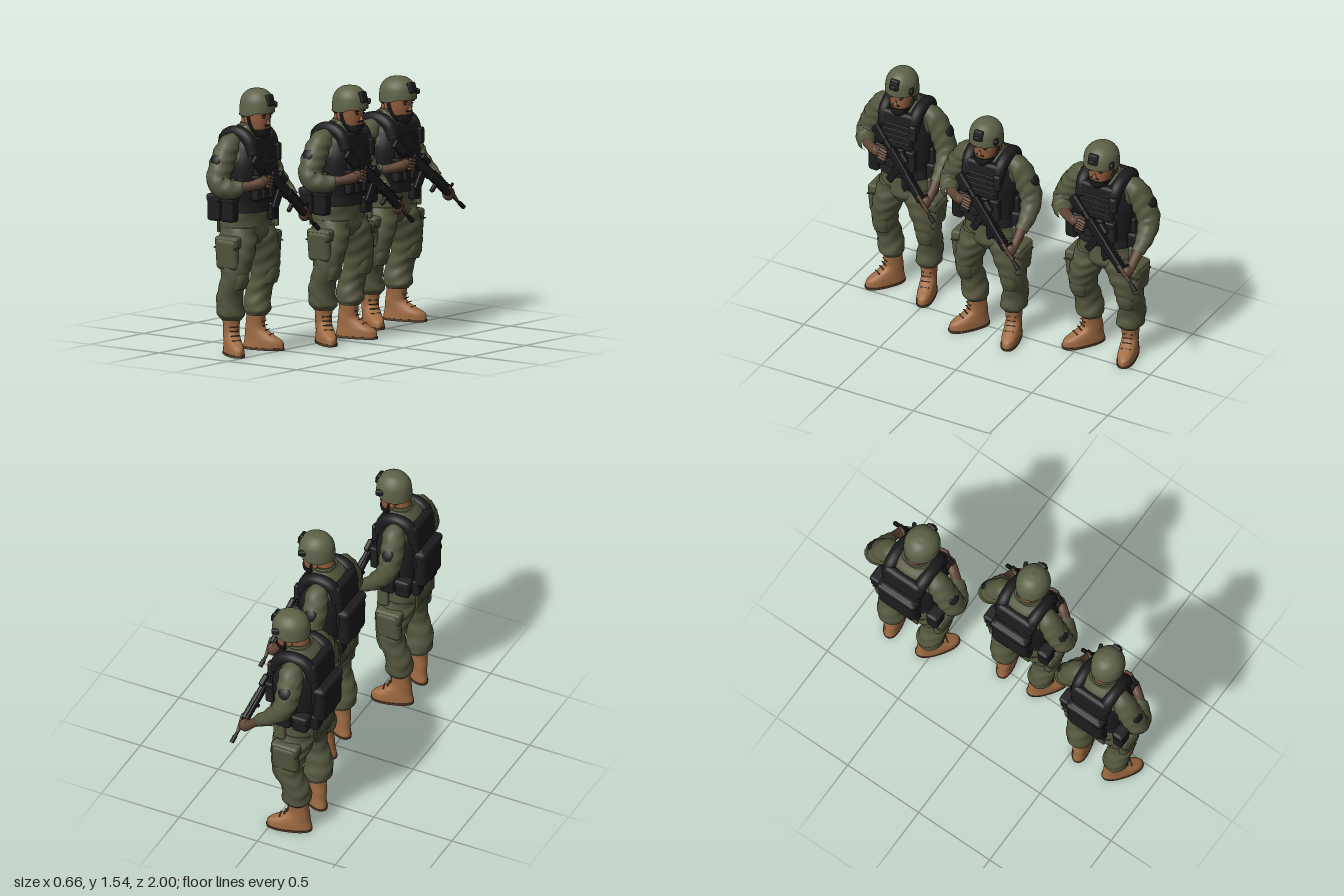
import * as THREE from 'three';
import { mergeVertices } from 'three/addons/utils/BufferGeometryUtils.js';
import { RoundedBoxGeometry } from 'three/addons/geometries/RoundedBoxGeometry.js';

const mat = (name, color) => Object.assign(new THREE.MeshStandardMaterial({ color }), { name });
const M = {
  cloth: mat('olive cloth', 0x54573e),
  seam: mat('dark olive', 0x464932),
  helmet: mat('helmet green', 0x5e6248),
  black: mat('vest black', 0x1c1c1e),
  pouch: mat('pouch charcoal', 0x212123),
  gun: mat('gun metal', 0x18181a),
  skin: mat('skin', 0x94603f),
  glove: mat('glove brown', 0x5e4534),
  boot: mat('boot tan', 0xa06c43),
  sole: mat('sole brown', 0x5c422e),
};

// Stacked horizontal rings [y, x, z, rx, rz], smoothed by a spline, with flat caps
function loft(rings, { n = 28, seg = 24, pow = 2, fold = 0, freq = 60, seed = 0 } = {}) {
  const a = new THREE.CatmullRomCurve3(rings.map(r => new THREE.Vector3(r[0], r[1], r[2])), false, 'centripetal');
  const b = new THREE.SplineCurve(rings.map(r => new THREE.Vector2(r[3], r[4])));
  const rows = [];
  for (let i = 0; i <= seg; i++) {
    const c = a.getPoint(i / seg), r = b.getPoint(i / seg);
    rows.push([c.x, c.y, c.z, r.x, r.y]);
  }
  const cap = r => [r[0], r[1], r[2], r[3] * 0.01, r[4] * 0.01];
  const all = [cap(rows[0]), rows[0], ...rows, rows[seg], cap(rows[seg])];
  const pos = [], idx = [];
  const bend = v => Math.sign(v) * Math.abs(v) ** (2 / pow);
  all.forEach(([y, x, z, rx, rz], i) => {
    for (let j = 0; j < n; j++) {
      const t = j / n * Math.PI * 2;
      const w = 1 + fold * Math.sin(y * freq + 2 * Math.sin(2 * t + seed) + 3 * Math.sin(t + seed * 2));
      pos.push(x + bend(Math.cos(t)) * rx * w, y, z + bend(Math.sin(t)) * rz * w);
      if (i === all.length - 1) continue;
      const p = i * n + j, q = i * n + (j + 1) % n;
      idx.push(p, p + n, q, q, p + n, q + n);
    }
  });
  const g = new THREE.BufferGeometry();
  g.setAttribute('position', new THREE.Float32BufferAttribute(pos, 3));
  g.setIndex(idx);
  g.computeVertexNormals();
  return g;
}

// Round limb through points [x, y, z, radius], with optional cloth folds
function limb(pts, { seg = 26, n = 16, fold = 0 } = {}) {
  const curve = new THREE.CatmullRomCurve3(pts.map(p => new THREE.Vector3(...p.slice(0, 3))));
  let g = new THREE.TubeGeometry(curve, seg, 1, n);
  const P = g.attributes.position, v = new THREE.Vector3();
  for (let i = 0; i <= seg; i++) {
    const u = i / seg, c = curve.getPointAt(u), s = curve.getUtoTmapping(u) * (pts.length - 1);
    const k = Math.min(Math.floor(s), pts.length - 2);
    const r = THREE.MathUtils.lerp(pts[k][3], pts[k + 1][3], s - k);
    for (let j = 0; j <= n; j++) {
      const w = r * (1 + fold * Math.sin(u * 42 + 2.5 * Math.sin(j / n * Math.PI * 4)));
      const m = i * (n + 1) + j;
      v.fromBufferAttribute(P, m).sub(c).multiplyScalar(w).add(c);
      P.setXYZ(m, v.x, v.y, v.z);
    }
  }
  g.deleteAttribute('uv');
  g.deleteAttribute('normal');
  g = mergeVertices(g, 1e-5);
  g.computeVertexNormals();
  return g;
}

const rbox = (x, y, z, r = 0.012) => new RoundedBoxGeometry(x, y, z, 2, Math.min(r, x / 2.1, y / 2.1, z / 2.1));
const box = (x, y, z) => new THREE.BoxGeometry(x, y, z);
const ball = (x, y, z) => new THREE.SphereGeometry(1, 18, 12).scale(x, y, z);

function put(parent, name, geo, material, p = [0, 0, 0], r = [0, 0, 0]) {
  const m = new THREE.Mesh(geo, material);
  m.name = name;
  m.position.set(...p);
  m.rotation.set(...r);
  parent.add(m);
}

// Rifle along +x, sights towards +y, 0.65 long
function rifle() {
  const g = new THREE.Group();
  g.name = 'rifle';
  const add = (n, geo, p, r) => put(g, n, geo, M.gun, p, r);
  const rod = (r, l) => new THREE.CylinderGeometry(r, r, l, 12).rotateZ(Math.PI / 2);
  add('stock', rbox(0.11, 0.06, 0.028), [0.055, -0.015, 0]);
  add('bufferTube', rod(0.013, 0.12), [0.14, 0, 0]);
  add('receiver', rbox(0.18, 0.055, 0.035, 0.008), [0.25, 0, 0]);
  add('handguard', rbox(0.19, 0.046, 0.042, 0.01), [0.42, 0.004, 0]);
  add('barrel', rod(0.009, 0.16), [0.57, 0.004, 0]);
  add('muzzle', rod(0.013, 0.045), [0.63, 0.004, 0]);
  add('topRail', box(0.33, 0.012, 0.016), [0.34, 0.031, 0]);
  for (let i = 0; i < 9; i++) add('railTooth', box(0.008, 0.007, 0.018), [0.35 + i * 0.018, 0.039, 0]);
  add('sight', rbox(0.075, 0.035, 0.032), [0.25, 0.052, 0]);
  add('frontSight', box(0.012, 0.045, 0.01), [0.5, 0.045, 0]);
  add('grip', rbox(0.032, 0.08, 0.026), [0.18, -0.055, 0], [0, 0, -0.35]);
  add('magazine', rbox(0.045, 0.12, 0.024, 0.006), [0.29, -0.075, 0], [0, 0, 0.22]);
  add('foregrip', rbox(0.026, 0.06, 0.026), [0.4, -0.045, 0]);
  const from = new THREE.Vector3(0.15, 1.13, 0.13), dir = new THREE.Vector3(0.27, 0.69, -0.31).sub(from).normalize();
  const up = new THREE.Vector3(1, 0, 0).cross(dir).normalize();
  g.quaternion.setFromRotationMatrix(new THREE.Matrix4().makeBasis(dir, up, dir.clone().cross(up)));
  g.position.copy(from);
  return g;
}

// One soldier facing +x; s = 1 is his right side (+z)
function soldier() {
  const g = new THREE.Group();
  const add = (...a) => put(g, ...a);

  // Trousers, cargo pockets and boots
  add('trouserSeat', loft([[0.62, 0.01, 0, 0.07, 0.09], [0.67, -0.008, 0, 0.12, 0.16], [0.75, -0.018, 0, 0.125, 0.174],
    [0.87, 0, 0, 0.115, 0.165]], { pow: 2.3, fold: 0.012 }), M.cloth);
  for (const s of [1, -1]) {
    const right = s > 0;
    add('trouserLeg', loft([[0.195, -0.025, 0.122 * s, 0.062, 0.06], [0.225, -0.027, 0.125 * s, 0.082, 0.078],
      [0.32, -0.028, 0.138 * s, 0.08, 0.074], [0.43, 0.012, 0.146 * s, 0.083, 0.075], [0.52, 0.022, 0.135 * s, 0.096, 0.084],
      [0.62, 0.01, 0.106 * s, 0.115, 0.098], [0.72, -0.006, 0.085 * s, 0.117, 0.092]],
    { seg: 44, fold: 0.035, freq: 75, seed: s }), M.cloth);
    add('kneePatch', loft([[0.38, 0.032, 0.146 * s, 0.056, 0.05], [0.43, 0.045, 0.146 * s, 0.06, 0.056],
      [0.49, 0.05, 0.141 * s, 0.058, 0.05]], { seg: 10, pow: 2.5 }), M.cloth);
    add('cargoPocket', rbox(0.155, 0.18, 0.06, 0.028), M.cloth, [0.005, 0.575, 0.2 * s], [0.1 * s, 0, 0]);
    add('pocketFlap', rbox(0.163, 0.06, 0.066, 0.018), M.cloth, [0.005, 0.645, 0.194 * s], [0.1 * s, 0, 0]);
    add('pocketEdge', rbox(0.164, 0.007, 0.067, 0.003), M.seam, [0.005, 0.614, 0.197 * s], [0.1 * s, 0, 0]);
    add('hipPocket', rbox(0.012, 0.09, 0.085, 0.006), M.seam, [-0.132, 0.72, 0.075 * s]);
    const foot = new THREE.Group();
    foot.name = 'boot';
    foot.position.set(right ? -0.02 : -0.022, 0, 0.125 * s);
    foot.rotation.y = right ? -0.62 : 0.25;
    put(foot, 'upper', loft([[0.012, 0.038, 0, 0.126, 0.05], [0.05, 0.036, 0, 0.119, 0.049], [0.08, 0.012, 0, 0.092, 0.046],
      [0.115, -0.013, 0, 0.063, 0.045], [0.16, -0.014, 0, 0.056, 0.047], [0.215, -0.01, 0, 0.058, 0.052]],
    { pow: 2.3, fold: 0.012 }), M.boot);
    put(foot, 'sole', loft([[0, 0.038, 0, 0.128, 0.052], [0.014, 0.038, 0, 0.13, 0.053]], { seg: 2, pow: 2.4 }), M.sole);
    for (let i = 0; i < 4; i++)
      put(foot, 'lace', box(0.008, 0.005, 0.05), M.sole, [[0.088, 0.062, 0.047, 0.041][i], 0.088 + i * 0.024, 0], [0, 0, 0.5]);
    g.add(foot);
  }

  // Shirt and collar
  add('shirt', loft([[0.82, 0, 0, 0.112, 0.16], [0.95, 0, 0, 0.122, 0.168], [1.1, 0, 0, 0.128, 0.18], [1.185, -0.005, 0, 0.11, 0.168],
    [1.245, 0, 0, 0.085, 0.13], [1.285, 0.015, 0, 0.062, 0.08]], { pow: 2.2, fold: 0.01 }), M.cloth);
  add('collar', loft([[1.25, 0.015, 0, 0.075, 0.085], [1.3, 0.03, 0, 0.066, 0.068]], { seg: 4 }), M.cloth);

  // Armour vest with front and back panels, straps, webbing and pouches
  add('vest', loft([[0.86, 0, 0, 0.132, 0.172], [0.95, 0.002, 0, 0.14, 0.178], [1.08, 0.003, 0, 0.146, 0.176],
    [1.17, 0, 0, 0.132, 0.155], [1.225, -0.002, 0, 0.11, 0.135]], { pow: 2.6 }), M.black);
  add('belt', loft([[0.805, 0, 0, 0.131, 0.174], [0.865, 0, 0, 0.131, 0.176]], { seg: 2, pow: 2.4 }), M.pouch);
  add('backPanel', rbox(0.06, 0.3, 0.25, 0.028), M.black, [-0.113, 1.09, 0], [0, 0, -0.08]);
  add('chestPanel', rbox(0.05, 0.24, 0.22, 0.022), M.black, [0.118, 1.11, 0], [0, 0, 0.12]);
  for (const s of [1, -1]) {
    const right = s > 0;
    add('shoulderStrap', limb([[0.118, 1.13, 0.1 * s, 0.034], [0.085, 1.215, 0.104 * s, 0.038], [0.01, 1.25, 0.108 * s, 0.038],
      [-0.075, 1.225, 0.104 * s, 0.038], [-0.113, 1.13, 0.1 * s, 0.034]]), M.black);
    add('sidePouch', rbox(0.1, 0.11, 0.045), M.pouch, [0, 0.95, 0.172 * s]);
    for (const x of [-0.08, 0.02]) {
      const z = right ? 0.2 : -0.178;
      add('hipPouch', rbox(0.092, right ? 0.155 : 0.1, 0.07, 0.018), M.black, [x, right ? 0.835 : 0.85, z]);
      add('hipPouchFlap', rbox(0.097, 0.045, 0.075, 0.014), M.pouch, [x, 0.888, z]);
    }
    add('rearPouch', rbox(0.045, 0.1, 0.08), M.black, [-0.128, 0.82, 0.085 * s]);
  }
  for (const z of [-0.1, -0.033, 0.033, 0.1]) {
    add('magazinePouch', rbox(0.045, 0.13, 0.058), M.pouch, [0.145, 0.945, z]);
    add('magazineFlap', rbox(0.05, 0.04, 0.06, 0.01), M.black, [0.147, 1.0, z]);
  }
  for (let i = 0; i < 4; i++)
    add('frontWebbing', rbox(0.012, 0.018, 0.2, 0.005), M.pouch, [0.147 - i * 0.004, 1.05 + i * 0.033, 0]);
  add('radio', rbox(0.035, 0.1, 0.045), M.pouch, [0.138, 1.13, -0.11]);
  add('holster', rbox(0.07, 0.13, 0.03), M.cloth, [0.05, 0.76, -0.185]);
  add('dumpPouch', rbox(0.04, 0.1, 0.07), M.black, [0.13, 0.8, -0.07]);
  add('backPack', rbox(0.075, 0.25, 0.25, 0.034), M.black, [-0.15, 0.955, 0]);
  add('backPackFlap', rbox(0.078, 0.05, 0.255, 0.022), M.pouch, [-0.152, 1.05, 0]);

  // Sloping sleeves, gloves and arm patches
  add('rightSleeve', limb([[0, 1.215, 0.1, 0.045], [-0.01, 1.178, 0.165, 0.068], [-0.018, 1.08, 0.226, 0.074], [-0.005, 0.98, 0.27, 0.068],
    [0.055, 0.95, 0.252, 0.058], [0.12, 0.958, 0.2, 0.04]], { seg: 44, fold: 0.045 }), M.cloth);
  add('leftSleeve', limb([[0, 1.215, -0.1, 0.045], [-0.01, 1.178, -0.162, 0.068], [-0.02, 1.08, -0.215, 0.072], [-0.005, 0.985, -0.252, 0.064],
    [0.065, 0.905, -0.265, 0.05], [0.14, 0.85, -0.262, 0.036]], { seg: 44, fold: 0.045 }), M.cloth);
  add('rightForearm', limb([[0.1, 0.96, 0.215, 0.032], [0.145, 0.967, 0.165, 0.028], [0.18, 0.98, 0.105, 0.034], [0.19, 0.99, 0.075, 0.015]]), M.glove);
  add('leftForearm', limb([[0.12, 0.865, -0.263, 0.031], [0.18, 0.81, -0.26, 0.026], [0.225, 0.768, -0.25, 0.032], [0.235, 0.755, -0.245, 0.015]]), M.glove);
  add('rightPalm', ball(0.032, 0.033, 0.043), M.glove, [0.182, 0.985, 0.08]);
  add('leftPalm', ball(0.035, 0.042, 0.035), M.glove, [0.23, 0.77, -0.245]);
  for (let i = 0; i < 4; i++) {
    add('rightFinger', new THREE.CapsuleGeometry(0.01, 0.04, 3, 8), M.glove, [0.21, 1.01 - i * 0.018, 0.05 + i * 0.004], [1.3, 0, 0]);
    add('leftFinger', new THREE.CapsuleGeometry(0.01, 0.04, 3, 8), M.glove, [0.26, 0.795 - i * 0.016, -0.228 - i * 0.012], [0.7, 0, 0]);
  }
  for (const s of [1, -1])
    add('armPatch', ball(0.036, 0.037, 0.014), M.black, [-0.02, 1.115, (s > 0 ? 0.279 : 0.268) * s], [-0.5 * s, 0, 0]);

  // Head, face and beard
  add('neck', limb([[0, 1.22, 0, 0.06], [0.02, 1.28, 0, 0.058], [0.04, 1.36, 0, 0.062]]), M.skin);
  add('head', loft([[1.23, 0.088, 0, 0.036, 0.036], [1.265, 0.08, 0, 0.064, 0.058], [1.32, 0.072, 0, 0.078, 0.072],
    [1.42, 0.07, 0, 0.082, 0.078]], { pow: 2.2 }), M.skin);
  add('beard', loft([[1.215, 0.108, 0, 0.026, 0.03], [1.236, 0.098, 0, 0.053, 0.05], [1.27, 0.088, 0, 0.067, 0.062]], { seg: 10, pow: 2.2 }), M.black);
  add('moustache', rbox(0.01, 0.009, 0.05), M.black, [0.148, 1.291, 0]);
  add('nose', new THREE.ConeGeometry(0.014, 0.05, 8), M.skin, [0.149, 1.32, 0], [0, 0, 0.2]);
  for (const s of [1, -1]) {
    add('ear', ball(0.02, 0.03, 0.01), M.skin, [0.05, 1.325, 0.073 * s]);
    add('sideHair', ball(0.04, 0.022, 0.012), M.black, [0.035, 1.352, 0.07 * s]);
    add('eye', ball(0.005, 0.005, 0.012), M.black, [0.144, 1.336, 0.03 * s]);
    add('eyebrow', rbox(0.01, 0.007, 0.034, 0.003), M.black, [0.145, 1.35, 0.032 * s]);
    add('chinStrap', limb([[0.06, 1.37, 0.084 * s, 0.009], [0.075, 1.29, 0.07 * s, 0.009], [0.1, 1.235, 0.042 * s, 0.009]], { n: 8 }), M.black);
  }

  // Helmet, slightly lower over the ears and nape than over the brow
  const shell = loft([[1.362, 0.07, 0, 0.109, 0.099], [1.395, 0.07, 0, 0.107, 0.098], [1.435, 0.07, 0, 0.099, 0.091],
    [1.468, 0.07, 0, 0.077, 0.07], [1.488, 0.07, 0, 0.046, 0.042], [1.495, 0.07, 0, 0.008, 0.008]]);
  const P = shell.attributes.position;
  for (let i = 0; i < P.count; i++) {
    const low = THREE.MathUtils.smoothstep(0.14 - P.getX(i), 0, 0.07) * THREE.MathUtils.smoothstep(1.43 - P.getY(i), 0, 0.07);
    P.setY(i, P.getY(i) - 0.018 * low);
  }
  shell.computeVertexNormals();
  add('helmet', shell, M.helmet);
  add('helmetMount', rbox(0.032, 0.065, 0.058, 0.01), M.black, [0.163, 1.432, 0], [0, 0, 0.28]);
  add('helmetClip', rbox(0.022, 0.028, 0.034, 0.006), M.pouch, [0.177, 1.42, 0]);
  add('helmetLamp', rbox(0.05, 0.035, 0.025, 0.01), M.black, [0.12, 1.395, -0.09], [0, 0.4, 0]);

  g.add(rifle());
  return g;
}

export function createModel() {
  const model = new THREE.Group();
  model.name = 'soldierSquad';
  const base = soldier();
  // [x, z, width scale, height scale]
  [[-0.12, 0.66, 0.98, 1.033], [0.05, 0.01, 1, 1], [-0.12, -0.655, 1.05, 0.968]].forEach(([x, z, w, h], i) => {
    const s = base.clone(true);
    s.name = ['tallSoldier', 'middleSoldier', 'shortSoldier'][i];
    s.position.set(x, 0, z);
    s.scale.set(w, h, w);
    model.add(s);
  });
  return model;
}
